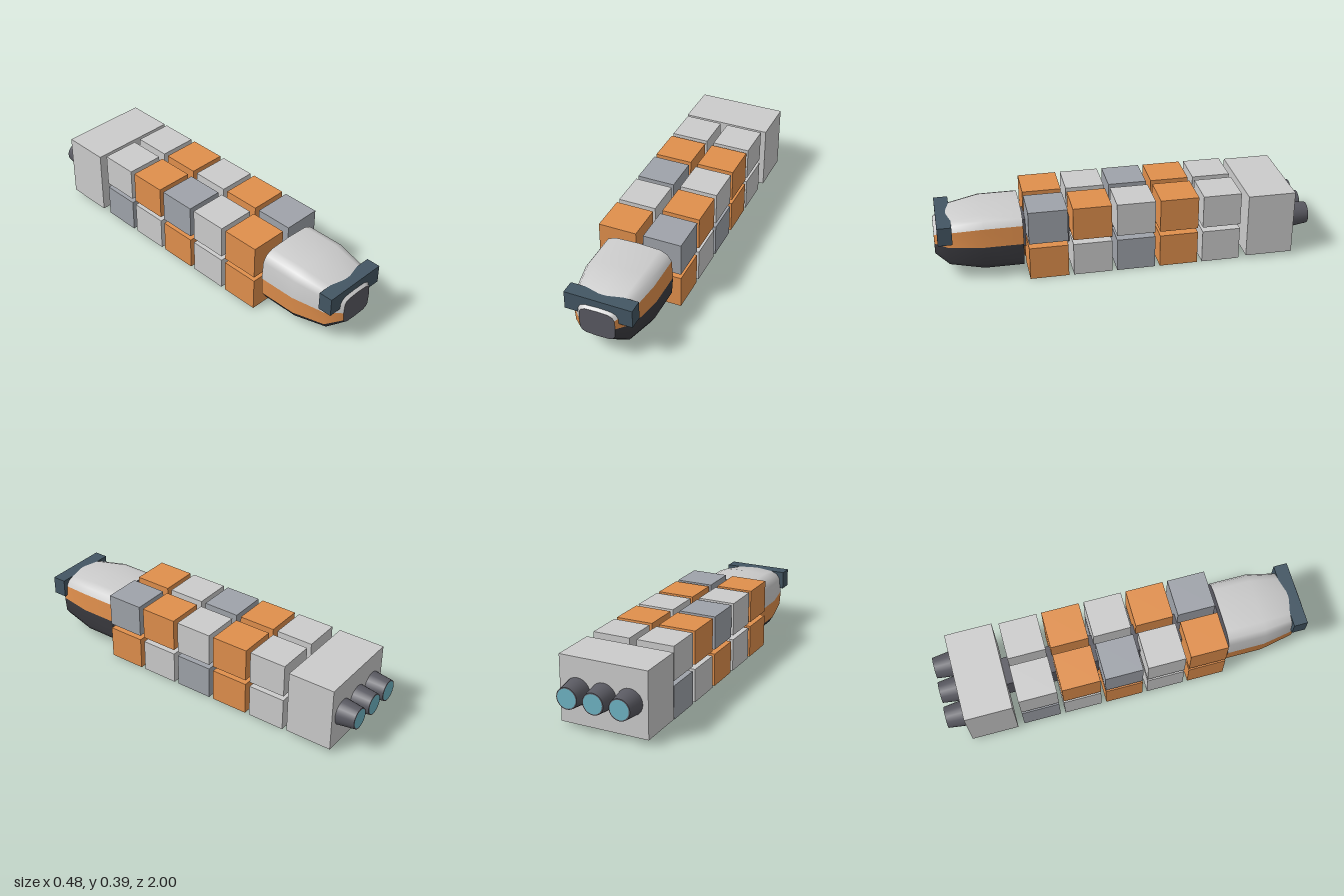
import * as THREE from 'three';

const mat = (color) => new THREE.MeshStandardMaterial({ color });
const light = mat(0xcccccc), grey = mat(0x9fa3aa), orange = mat(0xe08f4c);
const frame = mat(0x5a5a62), dark = mat(0x3c3c41), slate = mat(0x435663), glow = mat(0x6fb4c4);

const MID = 0.195; // height of the centre line

function add(parent, name, geometry, material, x = 0, y = 0, z = 0) {
  const mesh = new THREE.Mesh(geometry, material);
  mesh.name = name;
  mesh.position.set(x, y, z);
  parent.add(mesh);
  return mesh;
}

// Point on a rounded-square section, i in sixteenths of a turn
function sectionPoint(i, [z, w, h]) {
  const a = (i / 16) * Math.PI * 2;
  const soft = (v) => (Math.abs(v) < 1e-6 ? 0 : Math.sign(v) * Math.abs(v) ** 0.47);
  return new THREE.Vector3(w * soft(Math.cos(a)), MID + h * soft(Math.sin(a)), z);
}

// Nose sections: z, half width, half height
const sections = [[0.545, 0.192, 0.16], [0.75, 0.192, 0.16], [0.93, 0.16, 0.128], [1, 0.096, 0.077]];

// Strip of nose skin between two steps round the section
function skin(from, to) {
  const positions = [], index = [], row = to - from + 1;
  for (const s of sections)
    for (let i = from; i <= to; i++) positions.push(...sectionPoint(i, s).toArray());
  for (let j = 0; j < sections.length - 1; j++)
    for (let i = 0; i < row - 1; i++) {
      const a = j * row + i, b = a + 1, c = a + row, d = c + 1;
      index.push(a, b, d, a, d, c);
    }
  const g = new THREE.BufferGeometry();
  g.setAttribute('position', new THREE.Float32BufferAttribute(positions, 3));
  g.setIndex(index);
  g.computeVertexNormals();
  return g;
}

function cap(section) {
  const points = Array.from({ length: 16 }, (_, i) => sectionPoint(i, section));
  return new THREE.ShapeGeometry(new THREE.Shape(points.map((p) => new THREE.Vector2(p.x, p.y))));
}

export function createModel() {
  const model = new THREE.Group();
  model.name = 'cargoShip';

  // Nose with coloured skin, end caps and visor
  const nose = new THREE.Group();
  nose.name = 'nose';
  model.add(nose);
  add(nose, 'leftStripe', skin(0, 1), orange);
  add(nose, 'upperSkin', skin(1, 8), light);
  add(nose, 'rightStripe', skin(8, 9), orange);
  add(nose, 'lowerSkin', skin(9, 16), dark);
  add(nose, 'noseTip', cap(sections[3]), frame, 0, 0, 1);
  const back = add(nose, 'noseBack', cap(sections[0]), frame, 0, 0, 0.545);
  back.rotation.y = Math.PI;
  add(nose, 'visor', new THREE.BoxGeometry(0.36, 0.1, 0.075), slate, 0, 0.272, 0.947);

  // Spine
  add(model, 'spine', new THREE.BoxGeometry(0.15, 0.155, 1.2), frame, 0, 0.197, -0.05);

  // Containers, listed front to back for each row
  const boxes = new THREE.Group();
  boxes.name = 'containers';
  model.add(boxes);
  const rows = [
    { x: 1, y: 0.298, paint: [grey, orange, light, orange, light] },
    { x: -1, y: 0.298, paint: [orange, light, grey, orange, light] },
    { x: 1, y: 0.091, paint: [orange, light, grey, orange, light] },
    { x: -1, y: 0.091, paint: [orange, light, orange, light, grey] },
  ];
  const boxGeometry = new THREE.BoxGeometry(0.205, 0.181, 0.205);
  for (const { x, y, paint } of rows)
    paint.forEach((m, i) => add(boxes, 'container', boxGeometry, m, x * 0.1225, y, 0.42 - i * 0.2315));

  // Engine block with three nozzles
  const engine = new THREE.Group();
  engine.name = 'engine';
  model.add(engine);
  add(engine, 'engineBlock', new THREE.BoxGeometry(0.483, 0.353, 0.255), light, 0, 0.1965, -0.7725);
  for (const x of [-0.143, 0, 0.143]) {
    const nozzle = add(engine, 'nozzle', new THREE.CylinderGeometry(0.07, 0.057, 0.1, 24), frame, x, 0.197, -0.949);
    nozzle.rotation.x = Math.PI / 2;
    const disc = add(engine, 'nozzleGlow', new THREE.CircleGeometry(0.051, 24), glow, x, 0.197, -1);
    disc.rotation.y = Math.PI;
  }
  return model;
}
